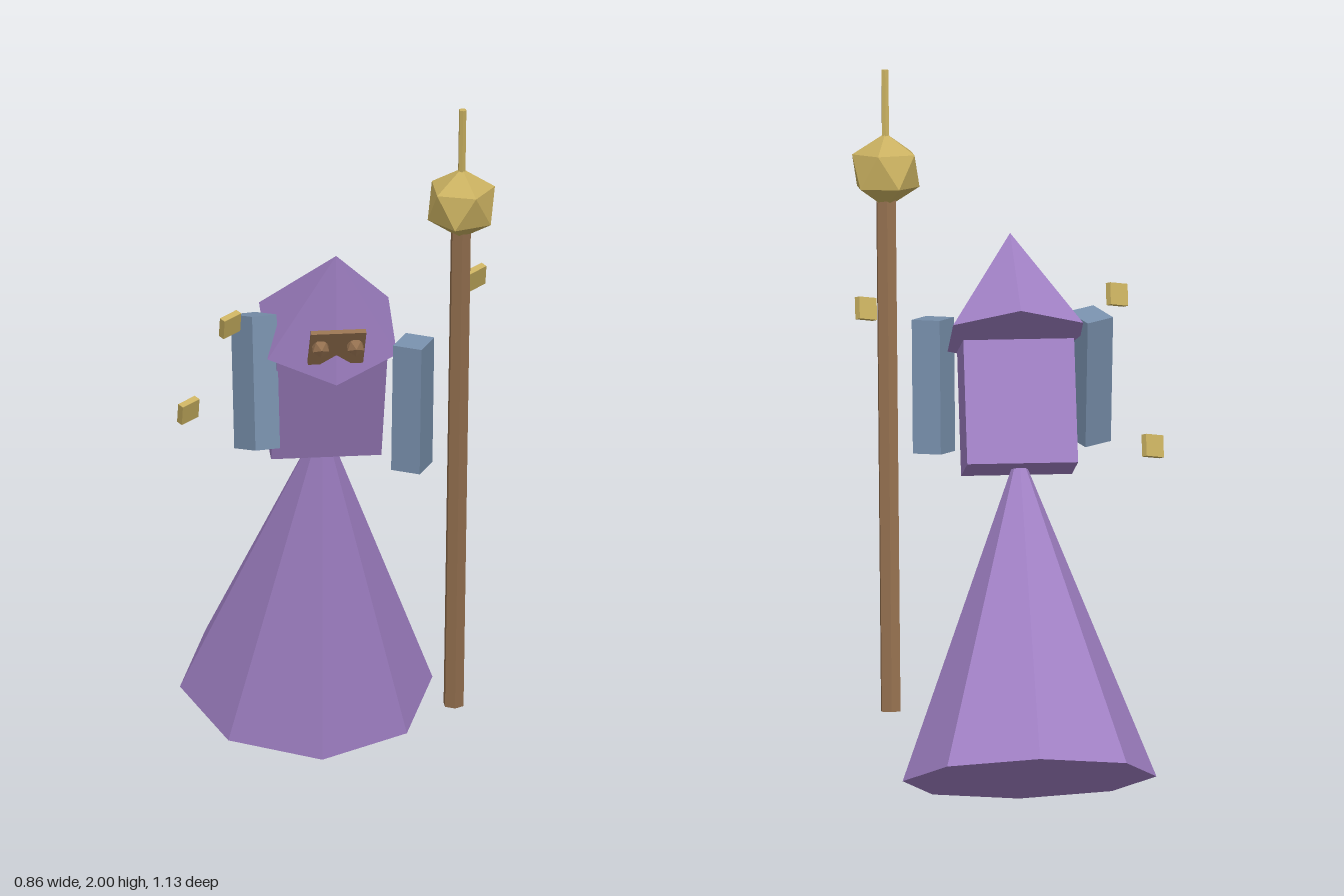
import * as THREE from 'three';

const material = (name, color) => {
  const m = new THREE.MeshStandardMaterial({ color, flatShading: true });
  m.name = name;
  return m;
};

export function createModel() {
  const cloth = material('purple cloth', 0xa080c4);
  const sleeve = material('blue sleeve', 0x7890ac);
  const wood = material('brown wood', 0x94704f);
  const gold = material('gold', 0xc9b060);

  const model = new THREE.Group();
  model.name = 'hunchedWizard';

  const add = (name, geometry, mat, position, rotation = [0, 0, 0], parent = model) => {
    const mesh = new THREE.Mesh(geometry, mat);
    mesh.name = name;
    mesh.position.set(...position);
    mesh.rotation.set(...rotation);
    parent.add(mesh);
    return mesh;
  };

  const middle = -0.03; // the body sits slightly off centre
  const lean = 0.37;    // forward hunch
  const headLean = 0.57;

  // Robe: eight-sided cone, leaning forward
  const robeHeight = 0.935;
  add('robe', new THREE.ConeGeometry(0.355, robeHeight, 8), cloth,
    [middle, 0.131 + Math.cos(lean) * robeHeight / 2, -0.23 + Math.sin(lean) * robeHeight / 2], [lean, 0, 0]);

  // Torso
  add('torso', new THREE.BoxGeometry(0.31, 0.35, 0.21), cloth, [middle, 1.109, 0.147], [lean, 0, 0]);

  // Hood: six-sided cone
  const hoodHeight = 0.31;
  add('hood', new THREE.ConeGeometry(0.21, hoodHeight, 6), cloth,
    [middle, 1.293 + Math.cos(headLean) * hoodHeight / 2, 0.217 + Math.sin(headLean) * hoodHeight / 2], [headLean, 0, 0]);

  // Mask with two faceted eyes
  const mask = new THREE.Group();
  mask.name = 'mask';
  mask.position.set(middle, 1.294, 0.4);
  mask.rotation.x = headLean;
  model.add(mask);
  add('maskPlate', new THREE.BoxGeometry(0.155, 0.128, 0.0145), wood, [0, 0, 0], [0, 0, 0], mask);
  for (const side of [-1, 1]) {
    add(side < 0 ? 'rightEye' : 'leftEye', new THREE.IcosahedronGeometry(0.027, 0), wood,
      [side * 0.049, 0.014, 0.0145], [0, 0, 0], mask);
  }

  // Arms
  const arm = new THREE.BoxGeometry(0.085, 0.375, 0.1);
  add('rightArm', arm, sleeve, [-0.242, 1.165, 0.275], [-0.19, 0.5, 0]);
  add('leftArm', arm, sleeve, [0.183, 1.12, 0.4], [0.1, -0.5, 0]);

  // Staff, built upwards from its foot
  const staff = new THREE.Group();
  staff.name = 'staff';
  staff.position.set(0.31, 0.213, 0.312);
  staff.rotation.x = 0.105;
  model.add(staff);
  add('staffShaft', new THREE.CylinderGeometry(0.03, 0.03, 1.46, 6), wood, [0, 0.73, 0], [0, 0, 0], staff);
  add('staffOrb', new THREE.IcosahedronGeometry(0.105, 0), gold, [0, 1.515, 0], [0, 0, -0.5536], staff);
  add('staffSpike', new THREE.CylinderGeometry(0.011, 0.011, 0.25, 6), gold, [0, 1.672, 0], [0, 0, 0], staff);

  // Floating tablets
  const tablet = new THREE.BoxGeometry(0.062, 0.062, 0.02);
  [[-0.33, 1.37, 0.396], [-0.398, 1.015, 0.036], [0.395, 1.4, 0.137]].forEach((p, i) =>
    add(`floatingTablet${i + 1}`, tablet, gold, p, [lean, 0.6, 0]));

  return model;
}
